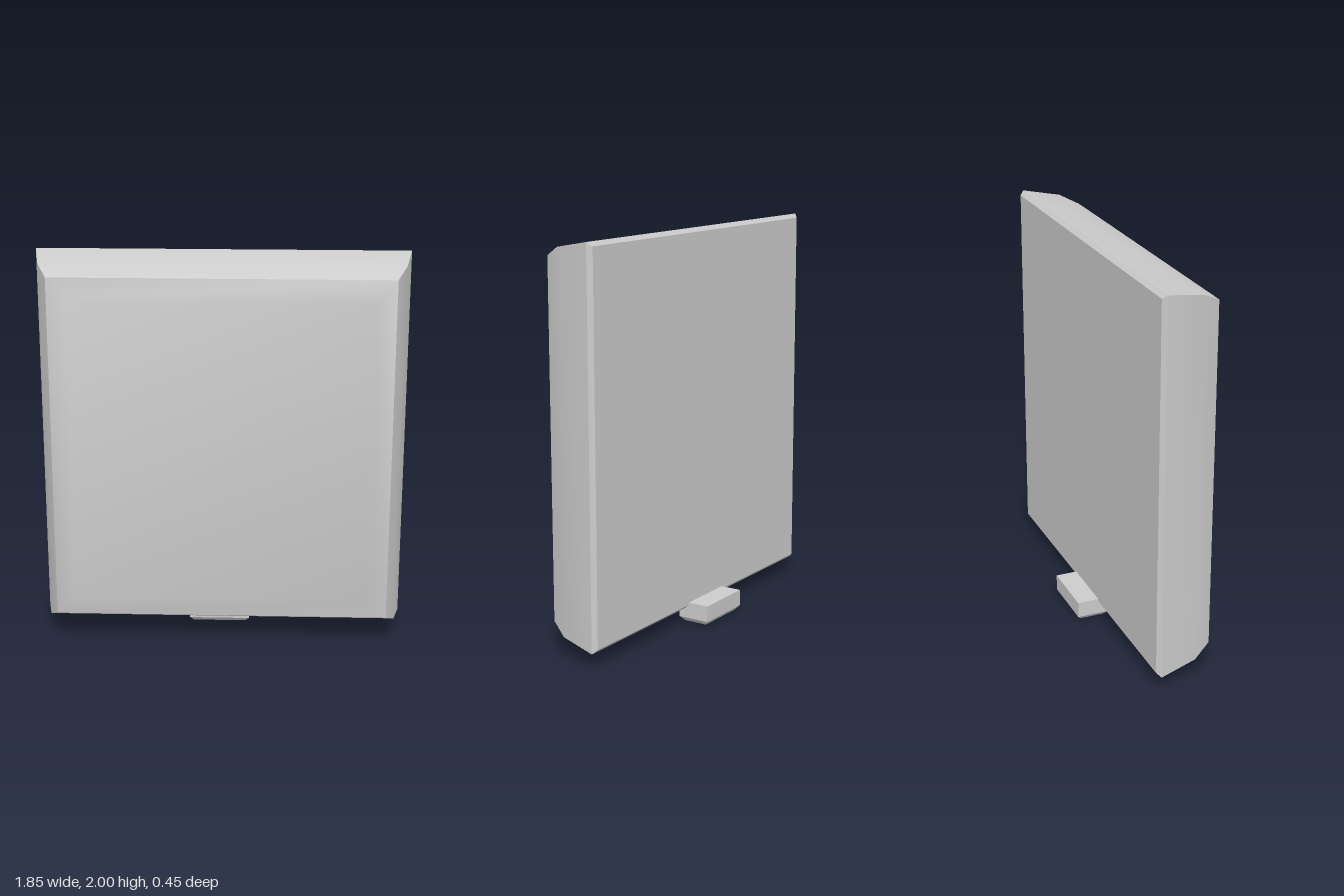
import * as THREE from 'three';
import { toCreasedNormals } from 'three/addons/utils/BufferGeometryUtils.js';

// Lofts rectangles [halfWidth, halfHeight, z], listed from back to front, and caps both ends.
function loftRectangles(rings) {
  const positions = [];
  const index = [];
  for (const [w, h, z] of rings) {
    positions.push(-w, -h, z, w, -h, z, w, h, z, -w, h, z);
  }
  for (let r = 0; r < rings.length - 1; r++) {
    for (let i = 0; i < 4; i++) {
      const a = r * 4 + i;
      const b = r * 4 + (i + 1) % 4;
      index.push(a, b, b + 4, a, b + 4, a + 4);
    }
  }
  const f = (rings.length - 1) * 4;
  index.push(0, 2, 1, 0, 3, 2);
  index.push(f, f + 1, f + 2, f, f + 2, f + 3);

  const geometry = new THREE.BufferGeometry();
  geometry.setAttribute('position', new THREE.Float32BufferAttribute(positions, 3));
  geometry.setIndex(index);
  return toCreasedNormals(geometry, THREE.MathUtils.degToRad(30));
}

export function createModel() {
  const group = new THREE.Group();
  const material = new THREE.MeshStandardMaterial({ color: 0xcccccc });

  // Panel: [inset, z] profile from the bevelled back to the softly raised front
  const halfWidth = 0.925;
  const halfHeight = 0.963;
  const profile = [
    [0.02, -0.113],
    [0, -0.092],
    [0.035, 0.1],
    [0.083, 0.195],
    [0.185, 0.225],
  ];
  const panel = new THREE.Mesh(
    loftRectangles(profile.map(([inset, z]) => [halfWidth - inset, halfHeight - inset, z])),
    material
  );
  panel.name = 'panel';
  panel.position.y = 2 - halfHeight;
  group.add(panel);

  // Small tab under the back edge, bevelled around its base
  const tabGeometry = loftRectangles([
    [0.135, 0.063, 0],
    [0.157, 0.085, 0.024],
    [0.157, 0.085, 0.107],
  ]);
  tabGeometry.rotateX(-Math.PI / 2);
  const tab = new THREE.Mesh(tabGeometry, material);
  tab.name = 'bottomTab';
  tab.position.set(-0.018, 0, -0.14);
  group.add(tab);

  return group;
}
